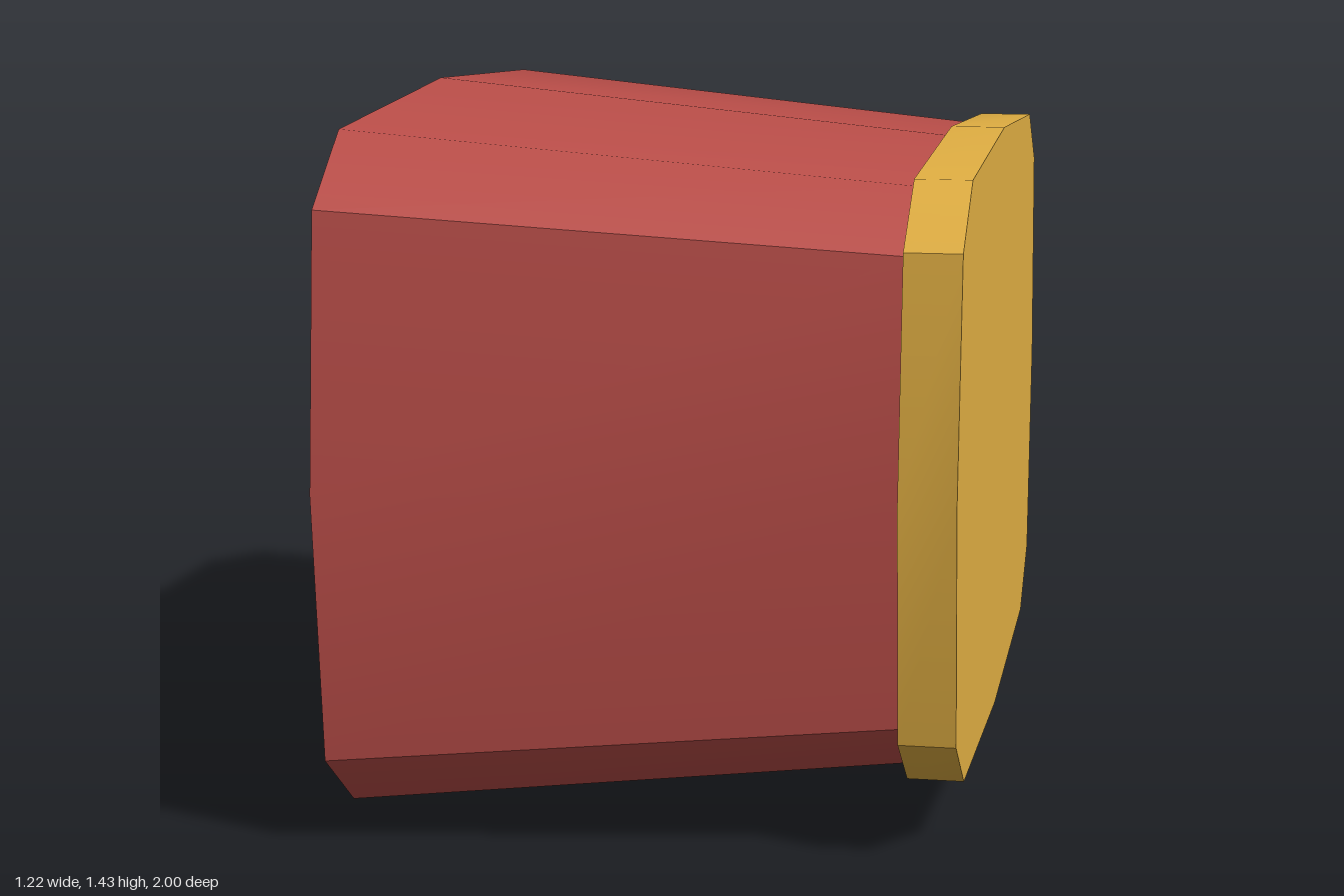
import * as THREE from 'three';
import { toCreasedNormals } from 'three/addons/utils/BufferGeometryUtils.js';

const CENTER_Y = 0.715;

// One quadrant of the bulging, chamfered outline, mirrored into twelve corners
function outline() {
  const top = [[0.945, 0.54], [0.76, 0.675], [0, 0.715], [-0.76, 0.675], [-0.945, 0.54], [-1, 0]];
  const bottom = top.map(([x, y]) => [-x, -y]);
  return new THREE.Shape([...top, ...bottom].map(([x, y]) => new THREE.Vector2(x, y)));
}

// Solid running along x from x0 to x1, with a [width, height] scale at each end
function block(name, material, x0, x1, startScale, endScale) {
  const geometry = new THREE.ExtrudeGeometry(outline(), { depth: x1 - x0, bevelEnabled: false });
  const p = geometry.attributes.position;
  for (let i = 0; i < p.count; i++) {
    const [sx, sy] = p.getZ(i) > 1e-4 ? endScale : startScale;
    p.setXY(i, p.getX(i) * sx, p.getY(i) * sy);
  }
  geometry.rotateY(Math.PI / 2);
  geometry.translate(x0, CENTER_Y, 0);
  const mesh = new THREE.Mesh(toCreasedNormals(geometry, 0.7), material);
  mesh.name = name;
  return mesh;
}

export function createModel() {
  const red = new THREE.MeshStandardMaterial({ color: 0xb94d48 });
  red.name = 'red';
  const gold = new THREE.MeshStandardMaterial({ color: 0xe0ae42 });
  gold.name = 'gold';

  const model = new THREE.Group();
  model.name = 'taperedBlock';
  // Tapered body, then the wider rim plate closing its narrow end
  model.add(block('body', red, -0.612, 0.5, [1, 1], [0.853, 0.85]));
  model.add(block('endPlate', gold, 0.5, 0.612, [0.913, 0.878], [0.913, 0.878]));
  return model;
}
